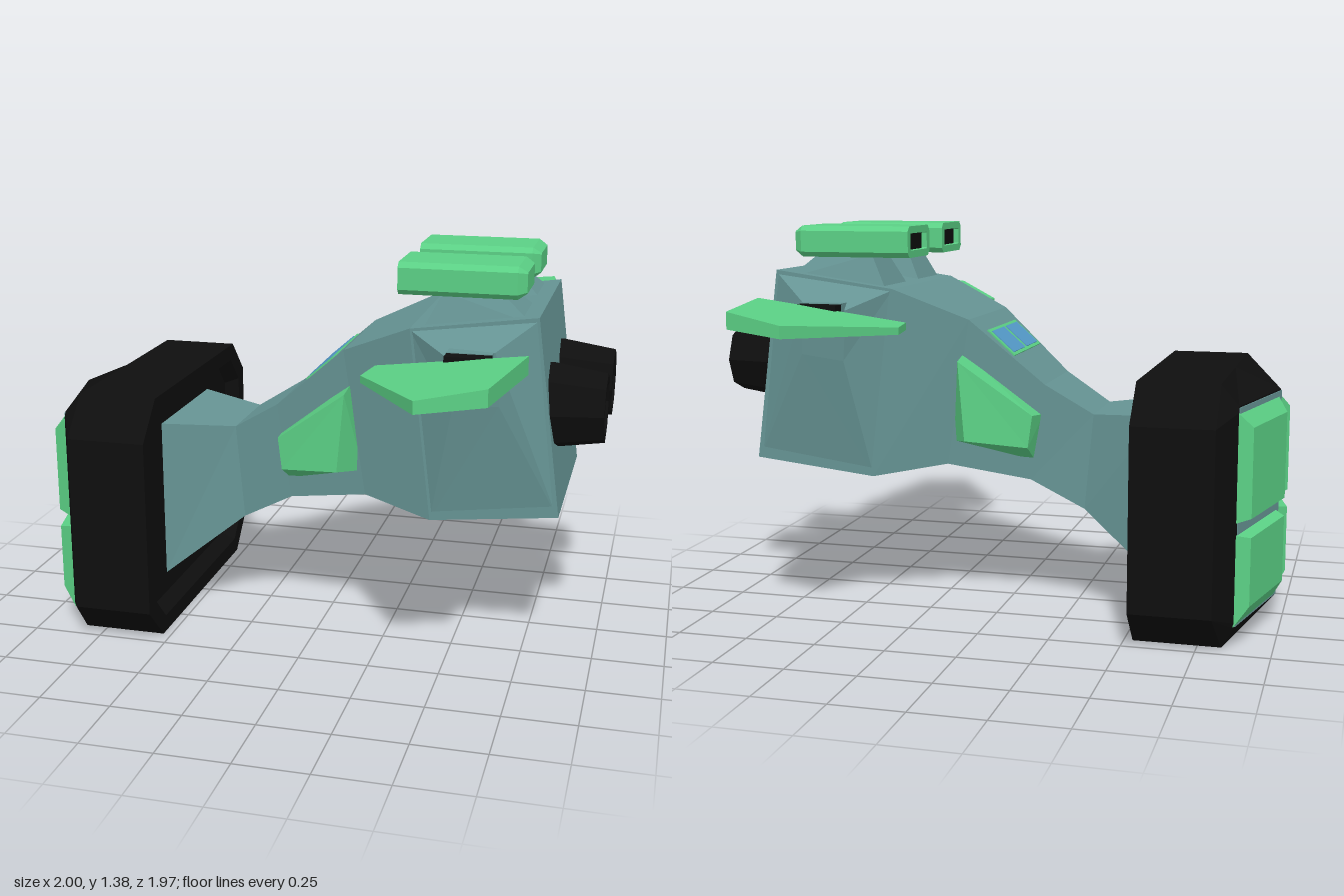
import * as THREE from 'three';

const material = (name, color) => {
  const m = new THREE.MeshStandardMaterial({ color });
  m.name = name;
  return m;
};

// Flat-shaded solid through equal-length loops of [x, y, z]; ends are capped.
function loft(loops) {
  const tris = [];
  const n = loops[0].length;
  for (let i = 0; i < loops.length - 1; i++) {
    for (let j = 0; j < n; j++) {
      const k = (j + 1) % n;
      const a = loops[i][j], b = loops[i][k], c = loops[i + 1][k], d = loops[i + 1][j];
      tris.push([a, b, c], [a, c, d]);
    }
  }
  const first = loops[0], last = loops[loops.length - 1];
  for (let j = 1; j < n - 1; j++) {
    tris.push([first[0], first[j + 1], first[j]], [last[0], last[j], last[j + 1]]);
  }
  // Keep faces outward, also for mirrored parts
  let volume = 0;
  const [a, b, c] = [0, 1, 2].map(() => new THREE.Vector3());
  for (const t of tris) {
    volume += a.fromArray(t[0]).dot(b.fromArray(t[1]).cross(c.fromArray(t[2])));
  }
  if (volume < 0) tris.forEach(t => t.reverse());
  const g = new THREE.BufferGeometry();
  g.setAttribute('position', new THREE.Float32BufferAttribute(tris.flat(2), 3));
  g.computeVertexNormals();
  return g;
}

// Rectangle loop facing x, with chamfered corners
const octagon = (x, cy, cz, h, w, c) => [
  [-w + c, -h], [w - c, -h], [w, -h + c], [w, h - c],
  [w - c, h], [-w + c, h], [-w, h - c], [-w, -h + c],
].map(([z, y]) => [x, cy + y, cz + z]);

// Head loop with ten points; x values for lower centre, lower corner and the rest
function headLoop(zc, zs, y0, yl, yh, y1, xs) {
  const half = [[xs[1], y0, zc], [xs[2], yl, zs], [xs[2], yh, zs], [xs[2], y1, zc]];
  const other = half.map(([x, y, z]) => [x, y, -z]).reverse();
  return [[xs[0], y0, 0], ...half, [xs[3], y1, 0], ...other];
}

export function createModel() {
  const model = new THREE.Group();
  model.name = 'spaceship';
  const teal = material('hullTeal', 0x669494);
  const green = material('panelGreen', 0x5bd085);
  const black = material('black', 0x0e0e0e);
  const blue = material('windowBlue', 0x559bca);

  const add = (name, geometry, mat, parent = model) => {
    const mesh = new THREE.Mesh(geometry, mat);
    mesh.name = name;
    parent.add(mesh);
    return mesh;
  };

  // Hull: lower x, lower y, upper x, upper y, half width
  const hull = [
    [-0.58, 0.165, -0.58, 0.745, 0.25],
    [-0.3, 0.38, -0.33, 0.725, 0.15],
    [-0.11, 0.485, -0.16, 0.83, 0.185],
    [0.18, 0.54, 0.1, 1.06, 0.25],
    [0.43, 0.5, 0.35, 1.17, 0.345],
    [0.87, 0.55, 0.78, 1.23, 0.35],
  ];
  add('hull', loft(hull.map(([xb, yb, xt, yt, w]) =>
    [[xb, yb, -w], [xb, yb, w], [xt, yt, w], [xt, yt, -w]])), teal);

  // Hammer head, with a shallow recess around the neck
  const back = (x, inset) => headLoop(0.43 - inset * 0.5, 0.555 - inset, inset, 0.13 + inset * 0.5,
    0.76 - inset * 0.5, 0.89 - inset, [x, x, x, x]);
  add('head', loft([
    back(-0.58, 0.09),
    back(-0.53, 0.06),
    back(-0.53, 0),
    headLoop(0.43, 0.555, 0, 0.13, 0.76, 0.89, [-0.9, -0.83, -0.81, -0.81]),
    headLoop(0.43, 0.44, 0.07, 0.09, 0.8, 0.82, [-0.97, -0.87, -0.87, -0.97]),
  ]), black);

  // Face of the head at distance out from its slanted front
  const faceX = (z, out) => -0.97 + Math.abs(z) * 0.2326 - out;

  for (const s of [1, -1]) {
    const side = s > 0 ? 'left' : 'right';
    const mirror = loop => loop.map(([x, y, z]) => [x, y, z * s]);
    const part = (name, loops, mat) => add(side + name, loft(loops.map(mirror)), mat);

    // Head face plate and its two bevelled panels
    const facePatch = (z0, z1, y0, y1, out) => [[z0, y0], [z1, y0], [z1, y1], [z0, y1]]
      .map(([z, y]) => [faceX(z, out), y, z]);
    part('FacePlate', [facePatch(0, 0.43, 0.075, 0.815, -0.004),
      facePatch(0, 0.43, 0.075, 0.815, 0.004)], teal);
    part('UpperFacePanel', [facePatch(0.025, 0.44, 0.43, 0.8, 0),
      facePatch(0.07, 0.42, 0.445, 0.75, 0.046)], green);
    part('LowerFacePanel', [facePatch(0.025, 0.44, 0.075, 0.39, 0),
      facePatch(0.07, 0.42, 0.145, 0.38, 0.046)], green);

    // Blister on the flank
    part('FlankPanel', [
      [[-0.12, 0.55, 0.16], [0.165, 0.62, 0.22], [0.125, 0.94, 0.22], [-0.15, 0.72, 0.16]],
      [[-0.12, 0.615, 0.272], [0.095, 0.64, 0.33], [0.12, 0.92, 0.325], [-0.135, 0.73, 0.268]],
    ], green);

    // Wing root, joint and wing
    part('WingRoot', [
      [[0.43, 0.5, 0.34], [0.86, 0.56, 0.345], [0.78, 1.22, 0.345], [0.35, 1.165, 0.34]],
      [[0.51, 0.92, 0.41], [0.665, 0.94, 0.41], [0.65, 1.125, 0.43], [0.49, 1.1, 0.43]],
    ], teal);
    const rootBlock = add(side + 'WingRootBlock', new THREE.BoxGeometry(0.15, 0.07, 0.07), teal);
    rootBlock.position.set(0.57, 1.09, s * 0.425);
    const joint = add(side + 'WingJoint', new THREE.BoxGeometry(0.15, 0.055, 0.07), black);
    joint.position.set(0.57, 1.095, s * 0.478);
    const plan = [[0.24, 0.59], [0.26, 0.46], [0.77, 0.53], [0.7, 0.92], [0.49, 0.985]];
    part('Wing', [
      plan.map(([x, z]) => [x, 1.04 + 0.085 * (x - 0.25), z]),
      plan.map(([x, z]) => [x, 1.065 + 0.155 * (x - 0.25), z]),
    ], green);

    // Roof pod on its pylon, with an open intake in front
    part('PodPylon', [
      [[0.38, 1.15, 0.06], [0.75, 1.2, 0.06], [0.75, 1.2, 0.31], [0.38, 1.15, 0.31]],
      [[0.45, 1.285, 0.11], [0.65, 1.285, 0.11], [0.65, 1.285, 0.27], [0.45, 1.285, 0.27]],
    ], teal);
    part('RoofPod', [
      octagon(0.42, 1.33, 0.195, 0.03, 0.09, 0.004),
      octagon(0.3, 1.33, 0.195, 0.03, 0.09, 0.004),
      octagon(0.3, 1.33, 0.195, 0.055, 0.12, 0.018),
      octagon(0.7, 1.33, 0.195, 0.055, 0.12, 0.018),
      octagon(0.73, 1.33, 0.195, 0.035, 0.095, 0.004),
    ], green);
    const intake = add(side + 'PodIntake', new THREE.BoxGeometry(0.1, 0.058, 0.178), black);
    intake.position.set(0.37, 1.33, s * 0.195);

    // Tail engine: tapered eight-sided nozzle with a hollow end
    const profile = [[0, 0], [0.15, 0], [0.15, 0.05], [0.122, 0.23], [0.095, 0.23], [0.07, 0.15], [0, 0.15]]
      .map(([r, y]) => new THREE.Vector2(r, y));
    const nozzle = new THREE.LatheGeometry(profile, 8).toNonIndexed();
    nozzle.computeVertexNormals();
    const engine = add(side + 'Engine', nozzle, black);
    engine.rotation.z = -Math.PI / 2;
    engine.position.set(0.77, 0.895, s * 0.18);
  }

  // Cockpit windows on the sloping roof
  const cockpit = new THREE.Group();
  cockpit.name = 'cockpit';
  cockpit.position.set(0, 0.973, 0);
  cockpit.rotation.z = Math.atan2(0.23, 0.26);
  model.add(cockpit);
  add('windowFrame', new THREE.BoxGeometry(0.132, 0.008, 0.376), green, cockpit);
  for (const s of [1, -1]) {
    const pane = add(s > 0 ? 'leftWindow' : 'rightWindow',
      new THREE.BoxGeometry(0.108, 0.008, 0.155), blue, cockpit);
    pane.position.set(0, 0.003, s * 0.092);
  }
  return model;
}
